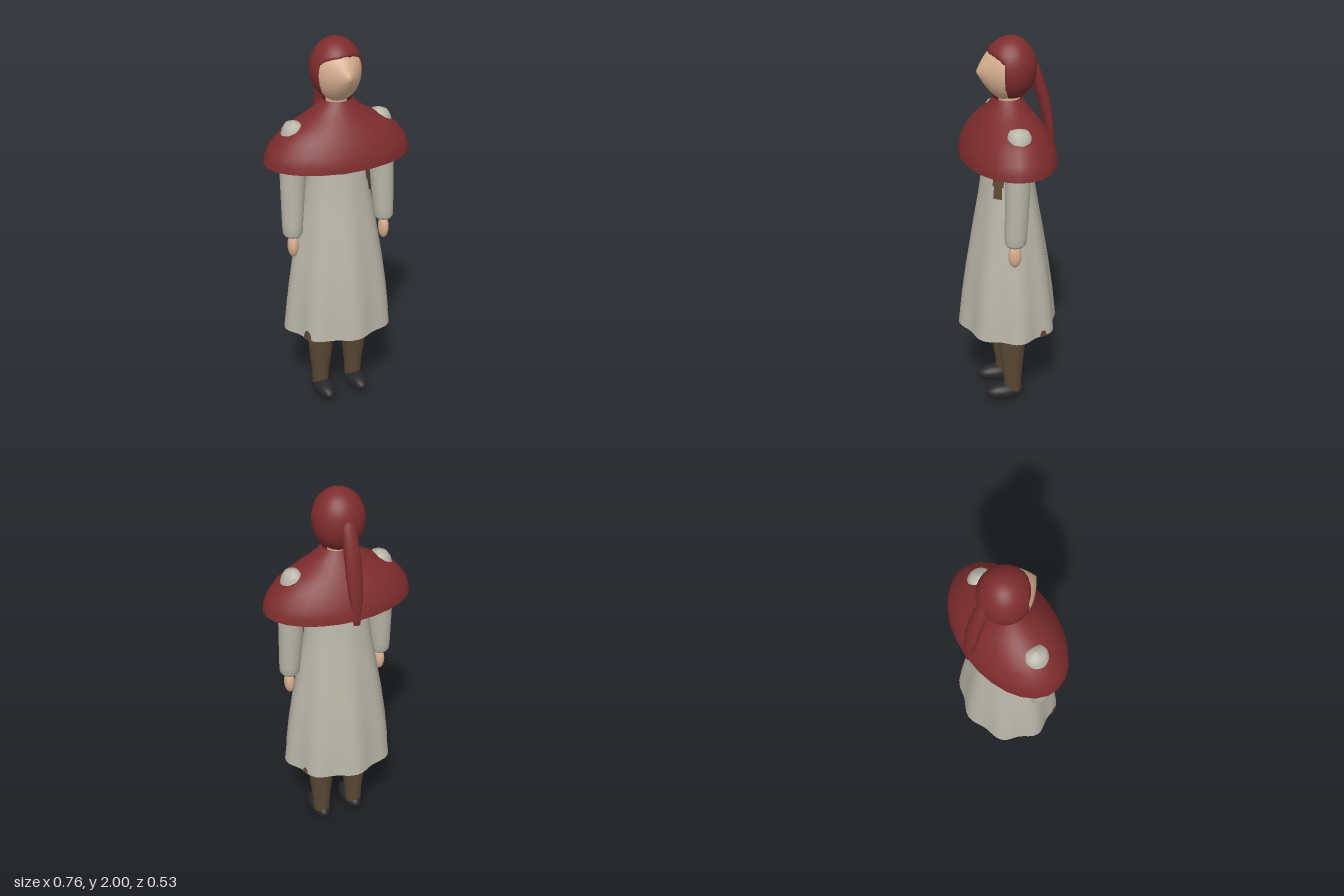
import * as THREE from 'three';
import { mergeVertices } from 'three/addons/utils/BufferGeometryUtils.js';

const flat = (name, color, side = THREE.FrontSide) => {
  const m = new THREE.MeshStandardMaterial({ color, side });
  m.name = name;
  return m;
};

// Surface from a grid of points; at(i, j) runs left to right and bottom to top.
function gridSurface(cols, rows, at) {
  const pos = [], index = [], w = cols + 1;
  for (let j = 0; j <= rows; j++) for (let i = 0; i <= cols; i++) pos.push(...at(i, j));
  for (let j = 0; j < rows; j++) for (let i = 0; i < cols; i++) {
    const a = j * w + i;
    index.push(a, a + 1, a + w + 1, a, a + w + 1, a + w);
  }
  let g = new THREE.BufferGeometry();
  g.setAttribute('position', new THREE.Float32BufferAttribute(pos, 3));
  g.setIndex(index);
  g = mergeVertices(g, 1e-5);
  g.computeVertexNormals();
  return g;
}

// Elliptical rings [y, rx, rz, cx, cz], listed from the bottom up.
const loft = (rings, segs) => gridSurface(segs, rings.length - 1, (i, j) => {
  const [y, rx, rz, cx = 0, cz = 0] = rings[j];
  const t = (i / segs) * Math.PI * 2;
  return [cx + rx * Math.sin(t), y, cz + rz * Math.cos(t)];
});

// Sphere with its pole on z, each unit point moved by a rule.
function shapedSphere(rule) {
  let g = new THREE.SphereGeometry(1, 40, 32).rotateX(Math.PI / 2);
  g.deleteAttribute('uv');
  g.deleteAttribute('normal');
  g = mergeVertices(g, 1e-4);
  const p = g.attributes.position;
  for (let i = 0; i < p.count; i++) p.setXYZ(i, ...rule(p.getX(i), p.getY(i), p.getZ(i)));
  g.computeVertexNormals();
  return g;
}

// Gown outline: [y, rx, rz], with folds that fade upward.
const GOWN = [[0.455, 0.287, 0.252], [0.62, 0.271, 0.236], [0.8, 0.247, 0.212], [1.0, 0.212, 0.18],
  [1.2, 0.176, 0.145], [1.4, 0.148, 0.116], [1.5, 0.14, 0.105], [1.62, 0.08, 0.06]];
function gownPoint(t, y, lift = 0) {
  let k = 0;
  while (k < GOWN.length - 2 && y > GOWN[k + 1][0]) k++;
  const [a, b] = [GOWN[k], GOWN[k + 1]];
  const f = (y - a[0]) / (b[0] - a[0]);
  const fold = 1 + 0.045 * Math.max(0, (1.4 - y) / 0.945) * Math.cos(8 * t);
  return [
    ((a[1] + (b[1] - a[1]) * f) * fold + lift) * Math.sin(t), y,
    ((a[2] + (b[2] - a[2]) * f) * fold + lift) * Math.cos(t),
  ];
}

export function createModel() {
  const model = new THREE.Group();
  const linen = flat('linen', 0xb8b4a7, THREE.DoubleSide);
  const red = flat('redCloth', 0x7e2c2d, THREE.DoubleSide);
  const skin = flat('skin', 0xd6ae90);
  const brown = flat('brownLeather', 0x5a4733, THREE.DoubleSide);
  const black = flat('blackLeather', 0x272729);
  const add = (name, geometry, material, x = 0, y = 0, z = 0) => {
    const m = new THREE.Mesh(geometry, material);
    m.name = name;
    m.position.set(x, y, z);
    model.add(m);
    return m;
  };

  // Gown
  const rows = 28, levels = [...Array(rows + 1).keys()].map(j => 0.455 + 1.165 * j / rows);
  add('gown', gridSurface(64, rows, (i, j) => gownPoint(i / 64 * Math.PI * 2, levels[j])), linen);

  // Belt, hanging strap and hem patches, laid just over the gown
  const overlay = (name, t0, t1, y0, y1, round = false) =>
    add(name, gridSurface(20, 6, (i, j) => {
      const u = i / 20, v = j / 6;
      const top = round ? y0 + (y1 - y0) * Math.sqrt(Math.max(0, 1 - (2 * u - 1) ** 2)) : y1;
      return gownPoint(t0 + (t1 - t0) * u, y0 + (top - y0) * v, 0.006);
    }), brown);
  [[-1.1, -0.43], [-0.25, 1.35], [1.75, 2.0], [2.15, 3.4]]
    .forEach(([a, b]) => overlay('belt', a, b, 1.345, 1.373));
  overlay('beltStrap', 0.74, 1.15, 1.28, 1.36);
  overlay('beltStrapEnd', 0.8, 1.1, 1.22, 1.28);
  overlay('hemPatch', -1.04, -0.84, 0.455, 0.507, true);
  overlay('hemPatch', 2.05, 2.2, 0.455, 0.49, true);

  // Shoulder cape
  add('cape', loft([[1.4, 0.385, 0.24], [1.435, 0.379, 0.235], [1.475, 0.363, 0.222], [1.53, 0.32, 0.192],
    [1.565, 0.276, 0.167], [1.595, 0.222, 0.146], [1.625, 0.165, 0.122], [1.66, 0.115, 0.093],
    [1.7, 0.075, 0.072]], 26), red);

  // Neck and face, drawn out to a point at the nose
  add('neck', new THREE.CylinderGeometry(0.05, 0.055, 0.16, 24), skin, 0, 1.68, -0.01);
  add('face', shapedSphere((a, b, c) => {
    const f = c > 0 ? 0.5 * c + 0.5 * (1 - Math.hypot(a, b)) : c * 0.5;
    return [0.116 * a, 1.835 + 0.145 * b, 0.02 + 0.135 * f];
  }), skin);

  // Hood, cut back around the face below the brow
  add('hood', shapedSphere((a, b, c) => {
    const y = 1.845 + 0.155 * b;
    const limit = 0.038 + 0.09 * THREE.MathUtils.smoothstep(y, 1.885, 1.95);
    return [0.13 * a, y, Math.min(-0.02 + (c > 0 ? 0.14 : 0.123) * c, limit)];
  }), red);

  // Hood tail hanging down the back
  add('hoodTail', loft([[1.37, 0.001, 0.001, 0, -0.228], [1.372, 0.018, 0.012, 0, -0.228],
    [1.42, 0.022, 0.014, 0, -0.226], [1.5, 0.034, 0.022, 0, -0.217], [1.6, 0.041, 0.028, 0, -0.2],
    [1.7, 0.041, 0.032, 0, -0.176], [1.8, 0.038, 0.03, 0, -0.146], [1.87, 0.03, 0.02, 0, -0.128],
    [1.893, 0.001, 0.001, 0, -0.122]], 16), red);

  for (const [side, s] of [['left', 1], ['right', -1]]) {
    // Sleeve and hand
    add(side + 'Sleeve', loft([[1.01, 0.001, 0.001, 0.255 * s, 0.022], [1.01, 0.04, 0.043, 0.255 * s, 0.022],
      [1.025, 0.05, 0.053, 0.255 * s, 0.021], [1.07, 0.053, 0.056, 0.254 * s, 0.019],
      [1.25, 0.061, 0.06, 0.247 * s, 0.011], [1.42, 0.068, 0.064, 0.241 * s, 0.005],
      [1.53, 0.064, 0.064, 0.236 * s, 0], [1.575, 0.054, 0.06, 0.233 * s, 0],
      [1.6, 0.04, 0.046, 0.231 * s, 0], [1.614, 0.001, 0.001, 0.23 * s, 0]], 24), linen);
    add(side + 'Hand', new THREE.SphereGeometry(1, 20, 16), skin, 0.256 * s, 0.953, 0.024)
      .scale.set(0.027, 0.063, 0.034);

    // Leg and shoe
    add(side + 'Leg', loft([[0.05, 0.043, 0.046, 0.097 * s, -0.006], [0.14, 0.047, 0.049, 0.097 * s, -0.005],
      [0.25, 0.06, 0.062, 0.097 * s, -0.002], [0.36, 0.069, 0.073, 0.096 * s, 0],
      [0.46, 0.069, 0.074, 0.095 * s, 0], [0.62, 0.069, 0.074, 0.093 * s, 0],
      [0.95, 0.075, 0.08, 0.085 * s, 0]], 24), brown);
    add(side + 'Shoe', new THREE.SphereGeometry(1, 24, 18), black, 0.097 * s, 0.046, 0.036)
      .scale.set(0.05, 0.046, 0.107);
  }
  return model;
}
